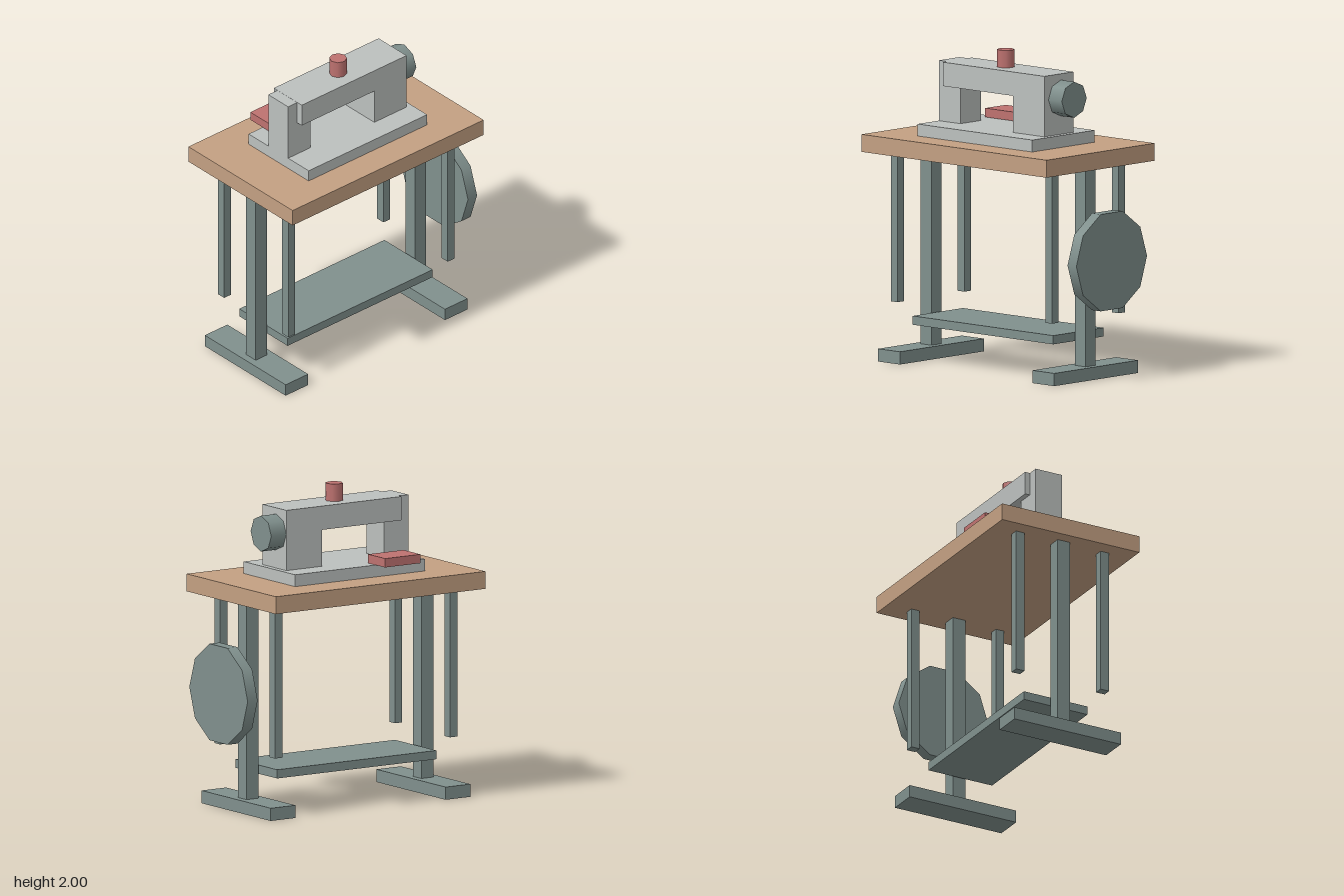
import * as THREE from 'three';

const mat = (name, color) => {
  const m = new THREE.MeshStandardMaterial({ color });
  m.name = name;
  return m;
};

export function createModel() {
  const wood = mat('wood', 0xc3a082);
  const iron = mat('iron', 0x80908d);
  const paint = mat('pale paint', 0xbcc0be);
  const red = mat('red', 0xbe7270);

  const model = new THREE.Group();
  model.name = 'sewingMachineTable';

  const add = (name, geometry, material) => {
    const mesh = new THREE.Mesh(geometry, material);
    mesh.name = name;
    model.add(mesh);
    return mesh;
  };
  // Box given by its extents on each axis
  const box = (name, [x0, x1], [y0, y1], [z0, z1], material) =>
    add(name, new THREE.BoxGeometry(x1 - x0, y1 - y0, z1 - z0), material)
      .position.set((x0 + x1) / 2, (y0 + y1) / 2, (z0 + z1) / 2);

  // Table top
  box('tableTop', [-0.84, 0.74], [1.325, 1.435], [-0.49, 0.49], wood);

  // Stand: a foot, a post and two thin rods at each end
  for (const [side, x] of [['right', -0.708], ['left', 0.61]]) {
    box(side + 'Foot', [x - 0.093, x + 0.093], [0, 0.08], [-0.38, 0.38], iron);
    box(side + 'Post', [x - 0.046, x + 0.046], [0.08, 1.325], [-0.045, 0.045], iron);
    for (const [end, z] of [['Front', 0.302], ['Back', -0.302]]) {
      box(side + end + 'Rod', [x - 0.028, x + 0.028], [0.38, 1.325], [z - 0.03, z + 0.03], iron);
    }
  }
  box('treadle', [-0.65, 0.55], [0.23, 0.285], [-0.227, 0.227], iron);

  // Large drive wheel beside the stand
  const driveWheel = add('driveWheel', new THREE.CylinderGeometry(0.32, 0.32, 0.075, 10), iron);
  driveWheel.rotation.z = Math.PI / 2;
  driveWheel.position.set(0.798, 0.757, 0);

  // Machine base and needle head
  box('machineBase', [-0.54, 0.44], [1.435, 1.51], [-0.265, 0.3], paint);
  box('needleHead', [-0.54, -0.355], [1.51, 1.889], [-0.08, 0.107], paint);

  // Pillar and arm as one L-shaped body
  const outline = new THREE.Shape([
    [0.135, 1.51], [0.402, 1.51], [0.402, 1.89], [-0.465, 1.89], [-0.465, 1.74], [0.135, 1.74],
  ].map(([x, y]) => new THREE.Vector2(x, y)));
  const arm = add('machineArm',
    new THREE.ExtrudeGeometry(outline, { depth: 0.263, bevelEnabled: false }), paint);
  arm.position.z = -0.113;

  // Hand wheel at the end of the arm
  const handWheel = add('handWheel', new THREE.CylinderGeometry(0.113, 0.113, 0.115, 8), iron);
  handWheel.rotation.z = Math.PI / 2;
  handWheel.position.set(0.458, 1.738, 0);

  // Spool on top and red plate at the back
  add('spool', new THREE.CylinderGeometry(0.055, 0.055, 0.11, 8), red).position.set(-0.05, 1.945, 0.02);
  box('clothPlate', [-0.426, -0.16], [1.512, 1.568], [-0.378, -0.192], red);

  return model;
}
